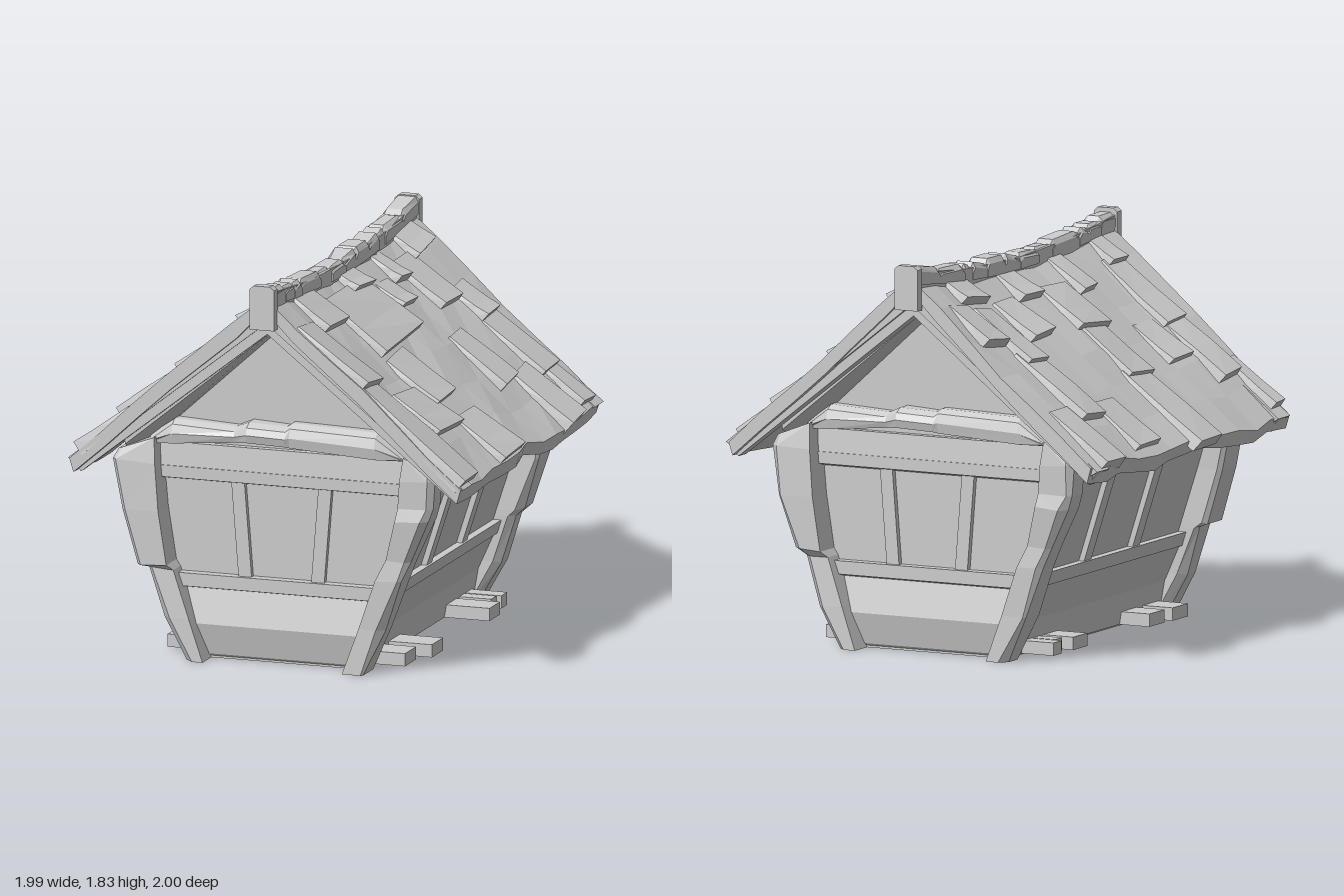
import * as THREE from 'three';

const MAT = new THREE.MeshStandardMaterial({ color: 0xcccccc, flatShading: true });
const V = (x, y, z) => new THREE.Vector3(x, y, z);

let seed = 7;
function rnd(a) { // seeded value in -a..a
  seed = (seed * 16807) % 2147483647;
  return (seed / 2147483647 * 2 - 1) * a;
}

// Closed solid through rings of equal, even point count; faces turned outward by signed volume
function loft(rings) {
  const n = rings[0].length, tris = [];
  const quad = (a, b, c, d) => tris.push([a, b, c], [a, c, d]);
  for (let r = 0; r < rings.length - 1; r++)
    for (let i = 0; i < n; i++) {
      const j = (i + 1) % n;
      quad(rings[r][i], rings[r][j], rings[r + 1][j], rings[r + 1][i]);
    }
  const A = rings[0], B = rings[rings.length - 1];
  for (let i = 0; i < n / 2 - 1; i++) {
    quad(A[n - 1 - i], A[n - 2 - i], A[i + 1], A[i]);
    quad(B[i], B[i + 1], B[n - 2 - i], B[n - 1 - i]);
  }
  let vol = 0;
  for (const [a, b, c] of tris) vol += a.dot(b.clone().cross(c));
  const pos = [];
  for (const [a, b, c] of tris)
    for (const p of vol < 0 ? [a, c, b] : [a, b, c]) pos.push(p.x, p.y, p.z);
  const g = new THREE.BufferGeometry();
  g.setAttribute('position', new THREE.Float32BufferAttribute(pos, 3));
  g.computeVertexNormals();
  return g;
}

// Roof: sagging ridge and slightly wavy slope
const RUN = 0.945;
const ridgeY = z => 1.71 + 0.07 * z * z;
const roofY = (x, z) => {
  const t = x / RUN, eave = 0.935 + 0.012 * Math.sin(z * 7 + 1);
  return ridgeY(z) * (1 - t) + eave * t + 0.012 * Math.sin(z * 5 + x * 6) * Math.sin(t * Math.PI);
};
const wallX = y => 0.385 + 0.32 * y; // outward leaning side walls

// Shingles: [upper x, lower x, z start, z end]
const SHINGLES_LEFT = [
  [0.03, 0.17, -0.87, -0.63], [0.34, 0.49, -0.85, -0.67], [0.5, 0.78, -0.87, -0.65], [0.08, 0.2, -0.45, -0.32],
  [0.14, 0.37, -0.67, -0.45], [0.72, 0.98, -0.66, -0.45], [0.48, 0.73, -0.45, -0.25],
  [0.17, 0.29, -0.3, -0.12], [0.03, 0.15, -0.1, 0.11], [0.12, 0.39, -0.11, 0.42], [0.42, 0.65, 0.17, 0.43],
  [0.56, 0.76, 0.38, 0.72], [0.04, 0.22, 0.43, 0.71], [0.18, 0.49, 0.72, 0.95], [0.5, 0.96, 0.73, 0.955],
  [0.74, 0.96, 0.1, 0.38], [0.72, 0.95, -0.87, -0.72],
];
const SHINGLES_RIGHT = [
  [0.7, 0.97, -0.88, -0.68], [0.18, 0.36, -0.88, -0.67], [0.42, 0.76, -0.68, -0.48], [0.2, 0.47, -0.66, -0.49],
  [0.04, 0.16, -0.71, -0.48], [0.18, 0.37, -0.45, -0.23], [0.7, 0.92, -0.46, -0.23], [0.05, 0.2, -0.22, -0.03],
  [0.6, 0.99, 0.01, 0.24], [0.38, 0.63, 0.03, 0.25], [0.18, 0.39, 0, 0.27], [0.05, 0.24, 0.28, 0.43],
  [0.43, 0.62, 0.45, 0.65], [0.45, 0.76, 0.67, 0.85], [0.16, 0.48, 0.66, 0.84], [0.04, 0.18, 0.69, 0.83],
  [0.7, 0.93, 0.85, 0.955],
];

export function createModel() {
  const model = new THREE.Group();
  const add = (name, geo, parent = model) => {
    const m = new THREE.Mesh(geo, MAT);
    m.name = name;
    parent.add(m);
  };
  const group = name => {
    const g = new THREE.Group();
    g.name = name;
    model.add(g);
    return g;
  };

  // House core with gables reaching into the roof
  const core = [[0.385, 0], [0.69, 0.95], [0.69, 1.075], [0, 1.64], [-0.69, 1.075], [-0.69, 0.95], [-0.385, 0]];
  const coreGeo = new THREE.ExtrudeGeometry(new THREE.Shape(core.map(p => new THREE.Vector2(...p))),
    { depth: 1.48, bevelEnabled: false });
  coreGeo.translate(0, 0, -0.74);
  add('houseBody', coreGeo);

  // Front and back timber framing
  for (const s of [1, -1]) {
    const framing = group(s > 0 ? 'frontFraming' : 'backFraming');
    const rail = (name, y0, y1, d0, d1, under = 0) => add(name, loft([-1, 1].map(e => [
      V(e * wallX(y0), y0 - under, s * 0.735), V(e * wallX(y0), y0, s * d0),
      V(e * wallX(y1), y1, s * d1), V(e * wallX(y1), y1, s * 0.735)])), framing);
    rail('upperBoard', 0.9, 1.01, 0.785, 0.775);
    rail('topRail', 0.845, 0.9, 0.79, 0.79, 0.015);
    rail('bottomRail', 0.338, 0.4, 0.79, 0.79, 0.015);
    rail('slopedSill', 0.165, 0.33, 0.785, 0.745);
    rail('baseBoard', 0.02, 0.165, 0.75, 0.785, 0.015);
    for (const [xb, xt] of [[-0.165, -0.2], [0.19, 0.225]])
      add('stud', loft([[xb, 0.4], [xt, 0.845]].map(([x, y]) => [
        V(x - 0.028, y, s * 0.7), V(x + 0.028, y, s * 0.7), V(x + 0.032, y, s * 0.77), V(x - 0.032, y, s * 0.77)])), framing);
    // Rough hewn crossbeam: [x, bottom, top, outer z]
    const beam = [[-0.62, 0.99, 1.04, 0.82], [-0.5, 1.0, 1.125, 0.84], [-0.2, 1.025, 1.11, 0.83], [-0.13, 1.035, 1.14, 0.86],
      [0.05, 1.025, 1.13, 0.84], [0.07, 1.02, 1.145, 0.83], [0.49, 1.0, 1.135, 0.84], [0.62, 1.0, 1.04, 0.82]];
    add('crossbeam', loft(beam.map(([x, b, t, z]) => [V(s * x, b, s * 0.7), V(s * x, b + 0.015, s * (z - 0.01)),
      V(s * x, (b + t) / 2, s * z), V(s * x, t - 0.02, s * (z - 0.015)), V(s * x, t, s * (z - 0.05)), V(s * x, t, s * 0.7)])), framing);
  }

  // Side timber framing
  for (const s of [1, -1]) {
    const framing = group(s > 0 ? 'leftFraming' : 'rightFraming');
    const board = (name, y0, y1, z0, z1, d0, d1, under = 0) => add(name, loft([z0, z1].map(z => [
      V(s * (wallX(y0) - 0.02), y0 - under, z), V(s * (wallX(y0) + d0), y0, z),
      V(s * (wallX(y1) + d1), y1, z), V(s * (wallX(y1) - 0.02), y1, z)])), framing);
    board('topRail', 0.845, 0.92, -0.74, 0.74, 0.04, 0.04, 0.015);
    board('bottomRail', 0.335, 0.4, -0.74, 0.74, 0.04, 0.04, 0.01);
    board('slopedSill', 0.165, 0.33, -0.74, 0.74, 0.002, 0.025);
    board('baseBoard', 0.015, 0.165, -0.74, 0.74, 0.025, 0.002);
    for (const z of [-0.24, 0.235]) board('stud', 0.4, 0.845, z - 0.035, z + 0.035, 0.028, 0.028);
  }

  // Rough corner posts: [y, inner x, outer x, inner z, outer z]
  const smooth = [[0, 0.34, 0.44, 0.7, 0.86], [0.22, 0.42, 0.54, 0.7, 0.855], [0.45, 0.5, 0.625, 0.7, 0.86],
    [0.55, 0.55, 0.665, 0.705, 0.85], [0.74, 0.6, 0.755, 0.69, 0.87], [0.8, 0.61, 0.775, 0.71, 0.855],
    [0.93, 0.62, 0.785, 0.7, 0.86], [1.04, 0.635, 0.77, 0.7, 0.85]];
  const stepped = [[0, 0.34, 0.43, 0.7, 0.86], [0.2, 0.41, 0.54, 0.705, 0.855], [0.42, 0.49, 0.615, 0.7, 0.84],
    [0.45, 0.51, 0.655, 0.7, 0.88], [0.7, 0.55, 0.73, 0.705, 0.88], [0.92, 0.57, 0.78, 0.7, 0.87], [1.04, 0.58, 0.76, 0.7, 0.85]];
  for (const sx of [1, -1]) for (const sz of [1, -1])
    add((sz > 0 ? 'front' : 'back') + (sx > 0 ? 'Left' : 'Right') + 'Post',
      loft((sx * sz > 0 ? smooth : stepped).map(([y, xi, xo, zi, zo]) => {
        const c = 0.025 + rnd(0.015), k = y > 0 ? rnd(0.012) : 0;
        const slant = y > 1 ? 0.4 : 0; // the top falls outward
        return [[xi, zi], [xo - c, zi], [xo, zi + c], [xo, zo - c], [xo - c, zo], [xi, zo]]
          .map(([x, z], i) => V(sx * x, y - slant * (x - xi) + (i > 1 && i < 5 ? k : 0), sz * z));
      })));

  // Floor planks sticking out at both sides: [z centre, width, right end, left end]
  const planks = group('floorPlanks');
  for (const [z, w, x0, x1] of [[0.595, 0.15, -0.58, 0.58], [0.385, 0.15, -0.57, 0.635], [-0.385, 0.14, -0.58, 0.635],
    [-0.525, 0.07, -0.54, 0.58], [-0.61, 0.08, -0.58, 0.6]]) {
    const g = new THREE.BoxGeometry(x1 - x0, 0.06, w);
    g.translate((x0 + x1) / 2, 0.045, z);
    add('plank', g, planks);
  }

  // Roof halves: sheet, shingles and rafters
  const steps = 6, slices = 12;
  for (const s of [1, -1]) {
    const roof = group(s > 0 ? 'leftRoof' : 'rightRoof');
    const rings = [];
    for (let j = 0; j <= slices; j++) {
      const z = -0.96 + 1.92 * j / slices, top = [], under = [], reach = RUN + rnd(0.015);
      for (let i = 0; i <= steps; i++) {
        const x = reach * i / steps, y = roofY(x, z);
        top.push(V(s * x, y + rnd(0.01), z));
        under.unshift(V(s * (x - (i ? 0.02 : 0)), y - 0.065, z));
      }
      rings.push([...top, ...under]);
    }
    add('roofSheet', loft(rings), roof);
    for (const [x0, x1, z0, z1] of s > 0 ? SHINGLES_LEFT : SHINGLES_RIGHT) {
      const lift = 0.042 + rnd(0.008), skew = rnd(0.006);
      const row = (x, inset, h) => {
        const a = z0 + inset, b = z1 - inset;
        const p = (z, dx, dh) => V(s * (x + dx + 0.64 * dh), roofY(x + dx, z) + 0.77 * dh, z);
        return [p(a - 0.015, skew, -0.025), p(b + 0.015, -skew, -0.025), p(b, -skew, h), p(a, skew, h)];
      };
      add('shingle', loft([row(x0 - 0.03, 0.015, 0.008), row((x0 + x1) / 2, 0.01, lift * 0.65),
        row(x1 - 0.02, 0.008, lift)]), roof);
    }
    for (const e of [1, -1]) {
      // Each end: [z, top at the middle, underside at the middle, underside slope]
      const rafter = (name, end, cut, ends) => add(name, loft(ends.map(([z, t, b, slope]) => [
        V(0, t, e * z), V(s * end, t - 0.79 * end, e * z),
        V(s * (end - cut), b - slope * (end - cut), e * z), V(0, b, e * z)])), roof);
      rafter('innerRafter', 0.74, 0.02, [[0.73, 1.68, 1.575, 0.91], [0.85, 1.68, 1.59, 0.82]]);
      rafter('rafter', 0.95, 0.04, [[0.85, 1.68, 1.59, 0.79], [0.925, 1.68, 1.59, 0.79]]);
      rafter('bargeBoard', 0.965, 0.04, [[0.83, 1.7, 1.645, 0.79], [0.945, 1.7, 1.645, 0.79]]);
    }
  }

  // Ridge beam with end blocks and uneven cap stones
  const ridge = group('ridge');
  add('ridgeBeam', loft([-0.97, -0.5, 0, 0.5, 0.97].map(z => {
    const y = ridgeY(z) + 0.025;
    return [V(-0.05, y - 0.11, z), V(0.05, y - 0.11, z), V(0.05, y, z), V(-0.05, y, z)];
  })), ridge);
  for (const e of [1, -1])
    add('endBlock', loft([0.955, 1].map(z => [V(-0.06, 1.625, e * z), V(0.06, 1.625, e * z), V(0.06, 1.815, e * z),
      V(0.04, 1.832, e * z), V(-0.04, 1.832, e * z), V(-0.06, 1.815, e * z)])), ridge);
  const cuts = [-0.99, -0.76, -0.52, -0.44, -0.3, -0.12, 0.02, 0.2, 0.34, 0.6, 0.7, 0.82, 0.99];
  for (let i = 0; i < cuts.length - 1; i++) {
    const a = cuts[i], b = cuts[i + 1], w = 0.053 + rnd(0.006), taper = 0.02 + rnd(0.012);
    const ring = (z, h) => {
      const y = ridgeY(z), k = 0.65 + rnd(0.15);
      return [V(-w, y - 0.03, z), V(w, y - 0.03, z), V(w, y + h - 0.025, z),
        V(w * k, y + h, z), V(-w * k, y + h, z), V(-w, y + h - 0.025, z)];
    };
    add('ridgeCap', loft([ring(a, 0.028), ring(a + taper, 0.048 + rnd(0.012)),
      ring(b - 0.03, 0.048 + rnd(0.012)), ring(b, 0.03)]), ridge);
  }
  return model;
}
